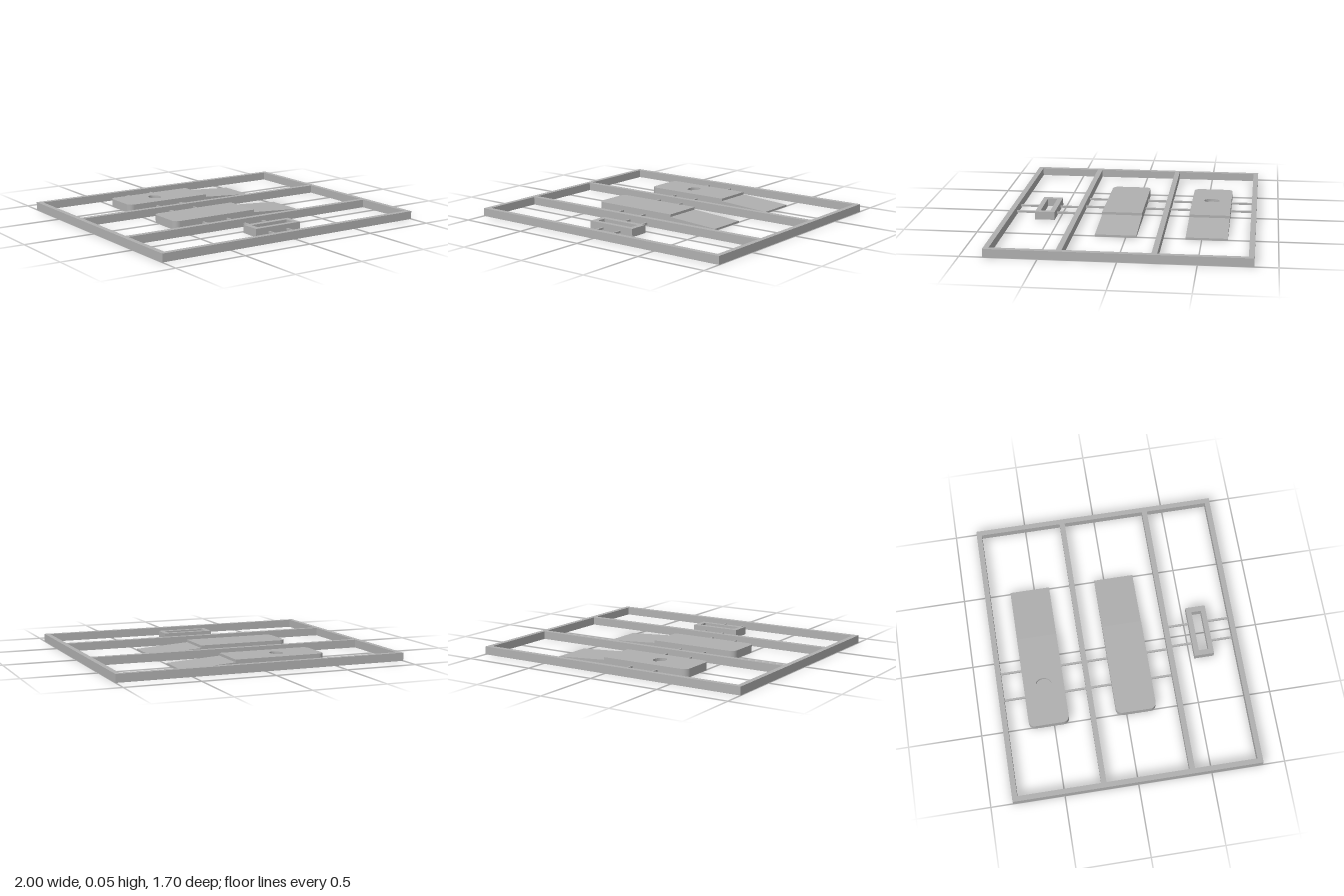
import * as THREE from 'three';

const H = 0.055; // overall thickness
const grey = new THREE.MeshStandardMaterial({ color: 0xb0b0b0 });
grey.name = 'plain grey';

function add(parent, name, geometry) {
  const mesh = new THREE.Mesh(geometry, grey);
  mesh.name = name;
  parent.add(mesh);
  return mesh;
}

// Rectangle outline in plan; plan y is -z
function rect(T, x0, x1, z0, z1) {
  const s = new T();
  s.moveTo(x0, -z1);
  s.lineTo(x1, -z1);
  s.lineTo(x1, -z0);
  s.lineTo(x0, -z0);
  s.closePath();
  return s;
}

// Raise a plan outline from y0 to y1
function raise(shape, y0, y1) {
  const g = new THREE.ExtrudeGeometry(shape, { depth: y1 - y0, bevelEnabled: false, curveSegments: 16 });
  return g.rotateX(-Math.PI / 2).translate(0, y0, 0);
}

// Body plan with the two corners at -x rounded
function bodyShape() {
  const x0 = -0.507, x1 = 0.134, w = 0.138, r = 0.042;
  const s = new THREE.Shape();
  s.moveTo(x1, -w);
  s.lineTo(x1, w);
  s.lineTo(x0 + r, w);
  s.absarc(x0 + r, w - r, r, Math.PI / 2, Math.PI, false);
  s.lineTo(x0, -w + r);
  s.absarc(x0 + r, -w + r, r, Math.PI, Math.PI * 1.5, false);
  s.closePath();
  return s;
}

function makeClip(name, z, recessed) {
  const clip = new THREE.Group();
  clip.name = name;
  clip.position.z = z;
  if (recessed) {
    // Blind oval recess: solid floor below, pierced layer above
    const floor = 0.035;
    const top = bodyShape();
    const oval = new THREE.Path();
    oval.absellipse(-0.217, 0, 0.043, 0.054, 0, Math.PI * 2, true);
    top.holes.push(oval);
    add(clip, 'bodyBase', raise(bodyShape(), 0, floor));
    add(clip, 'bodyTop', raise(top, floor, H));
  } else {
    add(clip, 'body', raise(bodyShape(), 0, H));
  }
  // Wedge tongue, one step below the body top
  const profile = new THREE.Shape();
  profile.moveTo(0.134, 0);
  profile.lineTo(0.507, 0);
  profile.lineTo(0.507, 0.013);
  profile.lineTo(0.134, 0.037);
  profile.closePath();
  const tongue = new THREE.ExtrudeGeometry(profile, { depth: 0.276, bevelEnabled: false });
  add(clip, 'tongue', tongue.translate(0, 0, -0.138));
  return clip;
}

export function createModel() {
  const model = new THREE.Group();
  model.name = 'partsFrame';

  // Outer frame with two cross rails, leaving three bays
  const frame = rect(THREE.Shape, -1, 1, -0.85, 0.85);
  const bays = [[-0.814, -0.249], [-0.213, 0.351], [0.388, 0.814]];
  for (const [z0, z1] of bays) frame.holes.push(rect(THREE.Path, -0.965, 0.965, z0, z1));
  add(model, 'frame', raise(frame, 0, H));

  // Two wedge parts
  model.add(makeClip('recessedClip', -0.532, true));
  model.add(makeClip('plainClip', 0.068, false));

  // Small rectangular loop
  const loop = rect(THREE.Shape, -0.18, 0.18, 0.53, 0.667);
  loop.holes.push(rect(THREE.Path, -0.143, 0.143, 0.566, 0.633));
  add(model, 'loop', raise(loop, 0, H));

  // Thin runners joining each part to the rails
  const runners = [
    [[-0.282, -0.089], [[-0.814, -0.67], [-0.394, -0.249], [-0.213, -0.07], [0.206, 0.351]]],
    [[-0.073, 0.073], [[0.388, 0.53], [0.667, 0.814]]],
  ];
  for (const [xs, spans] of runners) {
    for (const x of xs) {
      for (const [z0, z1] of spans) {
        const runner = add(model, 'runner', new THREE.BoxGeometry(0.013, 0.013, z1 - z0 + 0.006));
        runner.position.set(x, 0.02, (z0 + z1) / 2);
      }
    }
  }
  return model;
}
